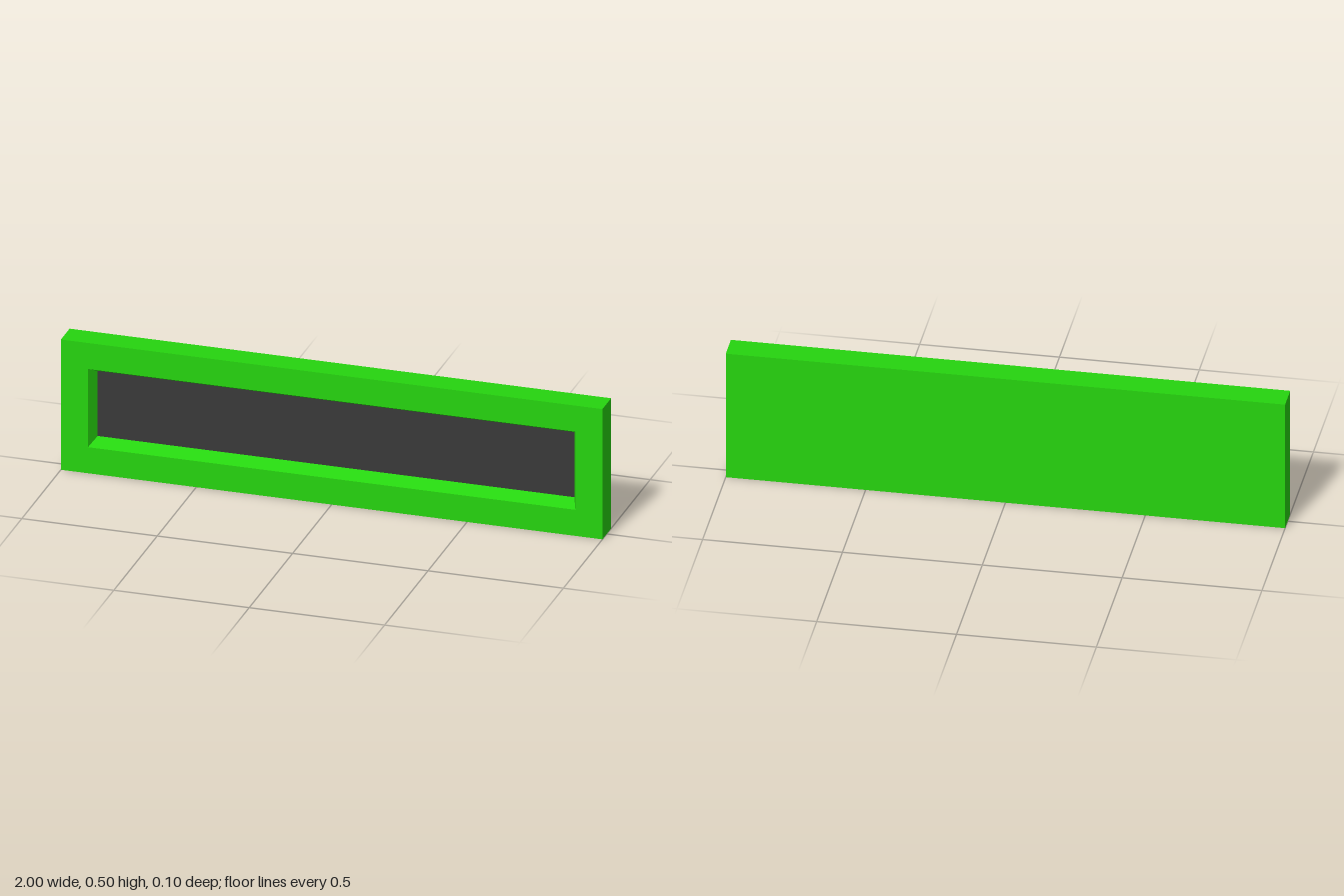
import * as THREE from 'three';

// Rectangle corners, counter-clockwise seen from the front
const rect = (halfW, low, high, z) => [
  [-halfW, low, z], [halfW, low, z], [halfW, high, z], [-halfW, high, z],
];

// Flat-shaded geometry from a list of four-cornered faces
function quads(faces) {
  const points = faces.flatMap(([a, b, c, d]) => [a, b, c, a, c, d]).flat();
  const geometry = new THREE.BufferGeometry();
  geometry.setAttribute('position', new THREE.Float32BufferAttribute(points, 3));
  geometry.computeVertexNormals();
  return geometry;
}

export function createModel() {
  const group = new THREE.Group();
  group.name = 'framedPanel';
  const green = new THREE.MeshStandardMaterial({ name: 'green', color: 0x26d40f });
  const charcoal = new THREE.MeshStandardMaterial({ name: 'charcoal', color: 0x393939 });

  // Frame: outer back edge, outer front edge, opening, foot of the sloped recess
  const loops = [
    rect(1, 0, 0.5, -0.05),
    rect(1, 0, 0.5, 0.05),
    rect(0.9, 0.1, 0.4, 0.05),
    rect(0.88, 0.125, 0.375, 0),
  ];
  const faces = [[...loops[0]].reverse()]; // closed back
  for (let k = 0; k < loops.length - 1; k++) {
    const a = loops[k], b = loops[k + 1];
    for (let i = 0; i < 4; i++) {
      const j = (i + 1) % 4;
      faces.push([a[i], a[j], b[j], b[i]]);
    }
  }
  const frame = new THREE.Mesh(quads(faces), green);
  frame.name = 'frame';

  // Dark panel at the bottom of the recess
  const panel = new THREE.Mesh(quads([loops[3]]), charcoal);
  panel.name = 'recessedPanel';

  group.add(frame, panel);
  return group;
}
